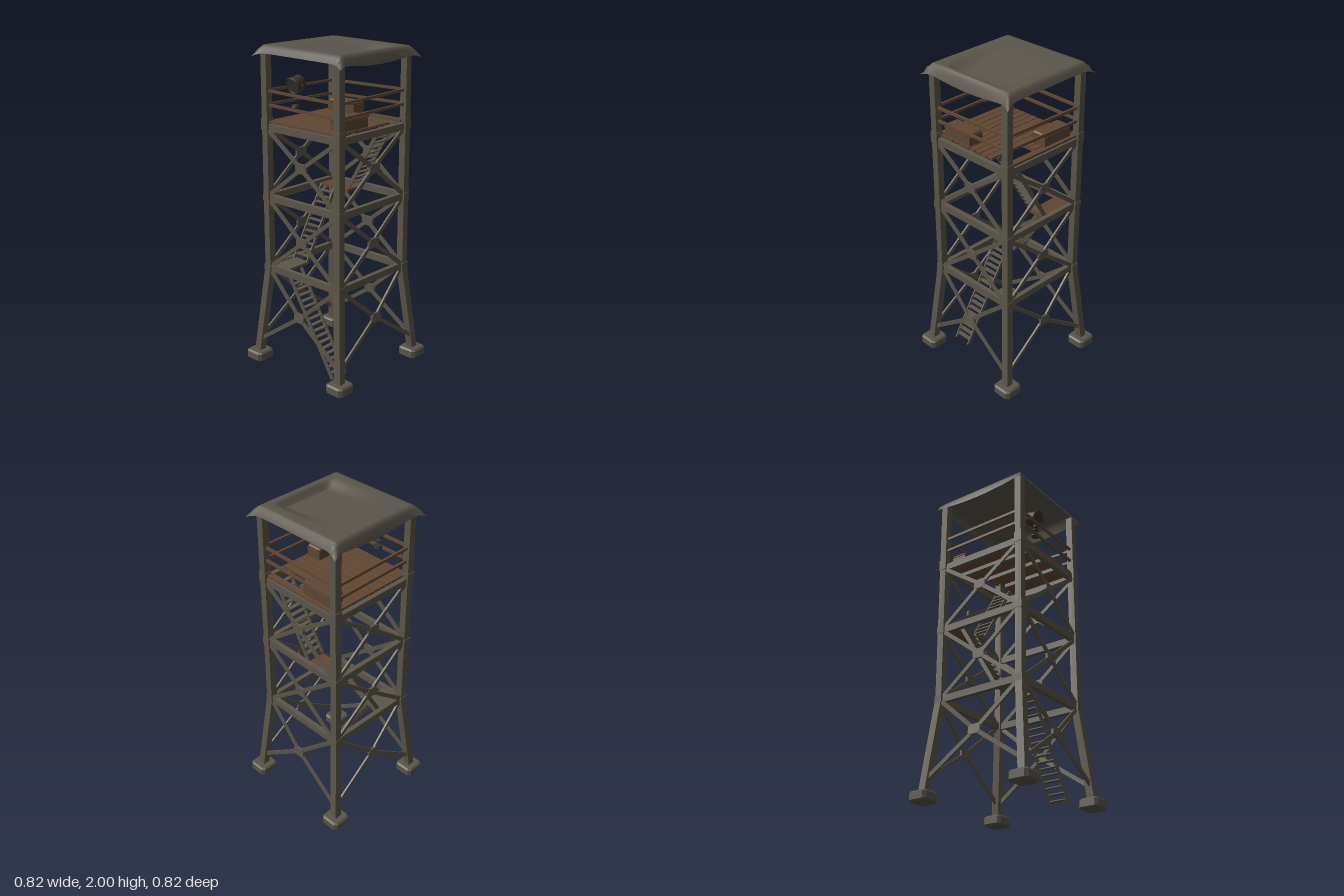
import * as THREE from 'three';

const mat = (name, color, extra = {}) => Object.assign(new THREE.MeshStandardMaterial({ color, ...extra }), { name });
const V = (x, y, z) => new THREE.Vector3(x, y, z);

export function createModel() {
  const steel = mat('weathered steel', 0x5c564a);
  const concrete = mat('footing', 0x5a554b);
  const canvas = mat('roof sheet', 0x5b564c, { side: THREE.DoubleSide });
  const wood = mat('wood planks', 0x624733);
  const crateWood = mat('crate wood', 0x5c4633);
  const dark = mat('dark metal', 0x37332e);

  const model = new THREE.Group();
  const group = (name, parent = model) => {
    const g = new THREE.Group();
    g.name = name;
    parent.add(g);
    return g;
  };
  const add = (parent, name, geo, material, x = 0, y = 0, z = 0) => {
    const m = new THREE.Mesh(geo, material);
    m.name = name;
    m.position.set(x, y, z);
    parent.add(m);
    return m;
  };
  const box = (parent, name, w, h, d, material, x, y, z) =>
    add(parent, name, new THREE.BoxGeometry(w, h, d), material, x, y, z);
  // Straight bar from a to b; w is its sideways and h its upright thickness
  const bar = (parent, name, a, b, w, h, material) => {
    const m = new THREE.Mesh(new THREE.BoxGeometry(w, h, a.distanceTo(b)), material);
    m.name = name;
    m.position.copy(a).add(b).multiplyScalar(0.5);
    m.lookAt(b);
    parent.add(m);
  };
  // Rectangle with cut corners, extruded along z and centred
  const cutPlate = (w, h, cut, depth, bevel = 0) => {
    const x = w / 2 - bevel, y = h / 2 - bevel, c = cut;
    const s = new THREE.Shape([[-x + c, -y], [x - c, -y], [x, -y + c], [x, y - c], [x - c, y], [-x + c, y], [-x, y - c], [-x, -y + c]]
      .map(p => new THREE.Vector2(...p)));
    return new THREE.ExtrudeGeometry(s, {
      depth: depth - 2 * bevel, bevelEnabled: bevel > 0, bevelSize: bevel, bevelThickness: bevel, bevelSegments: 1,
    }).translate(0, 0, -depth / 2 + bevel);
  };

  // Legs: splayed lower part, upright upper part, collars and footings
  const P = 0.29, FOOT = 0.345;
  const footGeo = cutPlate(0.13, 0.13, 0.012, 0.062, 0.01).rotateX(-Math.PI / 2);
  for (const sx of [-1, 1]) for (const sz of [-1, 1]) {
    const corner = group('leg');
    add(corner, 'footing', footGeo, concrete, sx * FOOT, 0.031, sz * FOOT);
    const lower = new THREE.BoxGeometry(0.047, 0.57, 0.047);
    const pos = lower.attributes.position;
    for (let i = 0; i < pos.count; i++) {
      const c = pos.getY(i) < 0 ? FOOT : P;
      pos.setXYZ(i, pos.getX(i) + sx * c, pos.getY(i) + 0.335, pos.getZ(i) + sz * c);
    }
    lower.computeVertexNormals();
    add(corner, 'lowerLeg', lower, steel);
    box(corner, 'upperLeg', 0.044, 1.35, 0.044, steel, sx * P, 1.285, sz * P);
    for (const [y, h] of [[0.62, 0.045], [1.075, 0.045], [1.53, 0.07]])
      box(corner, 'collar', 0.052, h, 0.052, steel, sx * P, y, sz * P);
  }

  // Four frame sides: beams, cross braces, gussets and railings
  const gussetGeo = cutPlate(0.083, 0.06, 0.015, 0.016);
  // Each bay: bottom x, y, z and top x, y, z, then the crossing height
  const bays = [[0.33, 0.14, 0.342, 0.265, 0.6, 0.3, 0.37], [0.265, 0.64, 0.297, 0.265, 1.055, 0.297, 0.845], [0.265, 1.1, 0.297, 0.265, 1.49, 0.297, 1.305]];
  for (let k = 0; k < 4; k++) {
    const side = group('frameSide');
    for (const y of [0.62, 1.075, 1.51]) box(side, 'beam', 0.57, 0.042, 0.03, steel, 0, y, P);
    bays.forEach(([x0, y0, z0, x1, y1, z1, yc], i) => {
      const zc = i === 0 ? 0.326 : 0.297;
      for (const s of [-1, 1]) {
        const o = s * 0.003, mid = V(0, yc, zc + o);
        bar(side, 'brace', V(s * x0, y0, z0 + o), mid, 0.012, 0.025, steel);
        bar(side, 'brace', mid, V(-s * x1, y1, z1 + o), 0.012, 0.025, steel);
      }
      const g = add(side, 'gusset', gussetGeo, steel, 0, yc, zc + 0.003);
      if (i === 0) g.rotation.x = -0.09;
    });
    const t = k % 2 ? 0.004 : -0.004;
    for (const y of [1.64, 1.724])
      bar(side, 'rail', V(-0.275, y - t, P), V(0.275, y + t, P), 0.014, 0.016, wood);
    side.rotation.y = k * Math.PI / 2;
  }

  // Platform planks, cut short around the stair opening
  const floor = group('platform');
  const n = 13, pitch = 0.6 / n;
  for (let i = 0; i < n; i++) {
    const z = -0.3 + (i + 0.5) * pitch;
    const x1 = z > -0.27 && z < -0.14 ? 0.04 : 0.28;
    box(floor, 'plank', x1 + 0.28, 0.014, pitch - 0.005, wood, (x1 - 0.28) / 2, 1.543 + (i % 2) * 0.001, z);
  }
  for (const x of [-0.14, 0, 0.14]) box(floor, 'joist', 0.02, 0.024, x > 0 ? 0.41 : 0.56, steel, x, 1.524, x > 0 ? 0.075 : 0);

  // Stairs: two stringers and thin treads
  const stair = (a, b, across, count) => {
    const g = group('stair');
    const off = across.clone().multiplyScalar(0.057);
    for (const s of [-1, 1]) {
      const o = off.clone().multiplyScalar(s);
      bar(g, 'stringer', a.clone().add(o), b.clone().add(o), 0.008, 0.024, steel);
    }
    for (let i = 1; i < count; i++) {
      const c = a.clone().lerp(b, i / count);
      bar(g, 'tread', c.clone().sub(off), c.clone().add(off), 0.028, 0.006, steel);
    }
  };
  stair(V(0.215, 0.01, 0.21), V(-0.155, 0.61, 0.21), V(0, 0, 1), 18);
  stair(V(-0.212, 0.63, 0.1), V(-0.212, 1.07, -0.16), V(1, 0, 0), 13);
  stair(V(-0.04, 1.09, -0.215), V(0.23, 1.54, -0.215), V(0, 0, 1), 13);
  box(model, 'lowerLanding', 0.13, 0.016, 0.19, steel, -0.215, 0.626, 0.185);
  box(model, 'upperLanding', 0.24, 0.016, 0.13, wood, -0.16, 1.068, -0.215);

  // Crates with overhanging lids and battens
  const crate = (x, z, turn) => {
    const g = group('crate');
    box(g, 'crateBody', 0.21, 0.056, 0.1, crateWood, 0, 0.028, 0);
    add(g, 'crateLid', cutPlate(0.212, 0.104, 0.006, 0.022, 0.008).rotateX(-Math.PI / 2), crateWood, 0, 0.063, 0);
    g.position.set(x, 1.551, z);
    g.rotation.y = turn;
  };
  crate(-0.127, -0.228, 0);
  crate(0.222, 0.134, Math.PI / 2);

  // Searchlight tilted down and outward over the front rail
  const lamp = group('searchlight');
  lamp.position.set(-0.08, 1.787, 0.25);
  const head = group('lampHead', lamp);
  add(head, 'housing', new THREE.CylinderGeometry(0.047, 0.044, 0.065, 16).rotateX(Math.PI / 2), dark);
  add(head, 'rim', new THREE.TorusGeometry(0.046, 0.006, 8, 20), dark, 0, 0, 0.032);
  add(head, 'lens', new THREE.CircleGeometry(0.043, 20), dark, 0, 0, 0.034);
  head.rotation.x = 0.3;
  add(lamp, 'yoke', new THREE.TorusGeometry(0.054, 0.005, 6, 16, Math.PI).rotateZ(Math.PI), dark);
  add(lamp, 'pivot', new THREE.CylinderGeometry(0.004, 0.004, 0.112, 8).rotateZ(Math.PI / 2), dark);
  add(lamp, 'mount', new THREE.CylinderGeometry(0.012, 0.015, 0.015, 12), dark, 0, -0.06, 0.01);
  add(lamp, 'mountPlate', new THREE.CylinderGeometry(0.02, 0.02, 0.006, 12), dark, 0, -0.09, 0.01);
  add(lamp, 'lowerPlate', new THREE.CylinderGeometry(0.022, 0.026, 0.014, 12), dark, 0, -0.128, 0.01);

  // Roof sheet: hollow sloping toward +x, folded edges and flared, drooping corners
  const seg = 44;
  const roof = new THREE.PlaneGeometry(2, 2, seg, seg).rotateX(-Math.PI / 2);
  const rp = roof.attributes.position;
  const step = THREE.MathUtils.smoothstep;
  for (let i = 0; i < rp.count; i++) {
    const u = rp.getX(i), v = rp.getZ(i), r = Math.max(Math.abs(u), Math.abs(v));
    const corner = Math.pow(u * v, 14);
    const skirt = Math.max(0, (r - 0.93) / 0.07);
    const hollow = 0.04 * step(u, -0.65, 0.72) * (1 - step(u, 0.72, 0.8)) * (1 - step(Math.abs(v), 0.45, 0.75));
    const edgeDip = 0.028 * Math.pow(u, 8) * (1 - v * v) * skirt;
    const y = 1.992 - 0.005 * u - hollow - 0.046 * skirt - edgeDip - 0.024 * corner;
    const flare = 0.025 * corner;
    rp.setXYZ(i, u * 0.328 + Math.sign(u) * flare, y, v * 0.328 + Math.sign(v) * flare - 0.004);
  }
  roof.computeVertexNormals();
  add(model, 'roofSheet', roof, canvas);
  return model;
}
